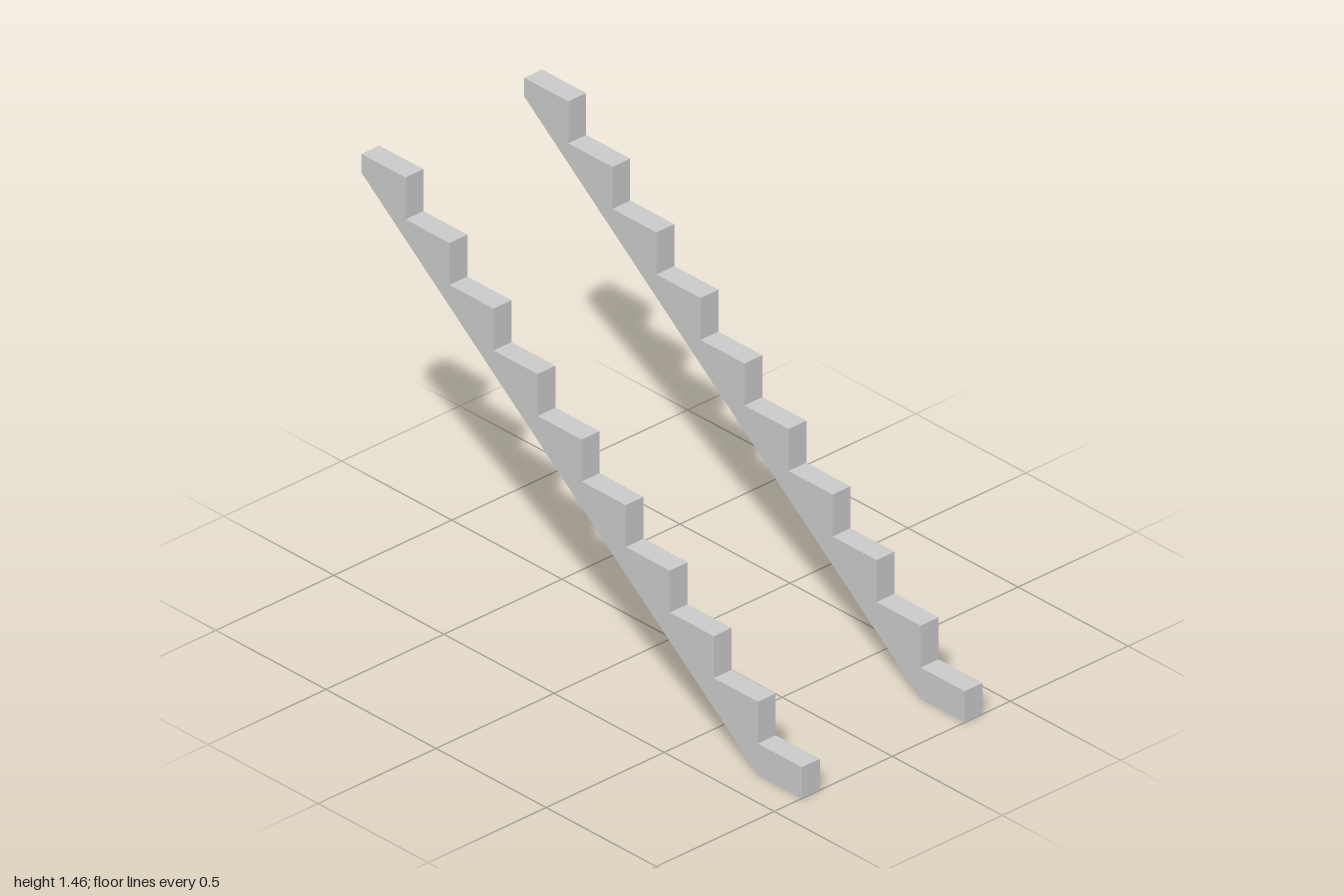
import * as THREE from 'three';

const STEPS = 10;
const TREAD = 0.2; // depth of each step
const RISE = 0.15; // height between steps
const FIRST = 0.112; // height of the lowest step
const THICK = 0.076; // board thickness
const OFFSET = 0.345; // board centre from the middle

// Saw-tooth outline of one stair stringer, descending towards +x
function stringerShape() {
  const shape = new THREE.Shape();
  shape.moveTo(0.8, 0);
  shape.lineTo(1, 0);
  for (let i = 0; i < STEPS; i++) {
    const y = FIRST + i * RISE;
    shape.lineTo(1 - i * TREAD, y);
    shape.lineTo(1 - (i + 1) * TREAD, y);
  }
  shape.lineTo(-1, 1.395);
  shape.closePath();
  return shape;
}

export function createModel() {
  const group = new THREE.Group();
  group.name = 'stairStringers';
  const material = new THREE.MeshStandardMaterial({ color: 0xcccccc, flatShading: true });
  const geometry = new THREE.ExtrudeGeometry(stringerShape(), { depth: THICK, bevelEnabled: false });
  geometry.translate(0, 0, -THICK / 2);

  // Two matching boards, front and back
  for (const [name, side] of [['frontStringer', 1], ['backStringer', -1]]) {
    const board = new THREE.Mesh(geometry, material);
    board.name = name;
    board.position.z = side * OFFSET;
    group.add(board);
  }
  return group;
}
